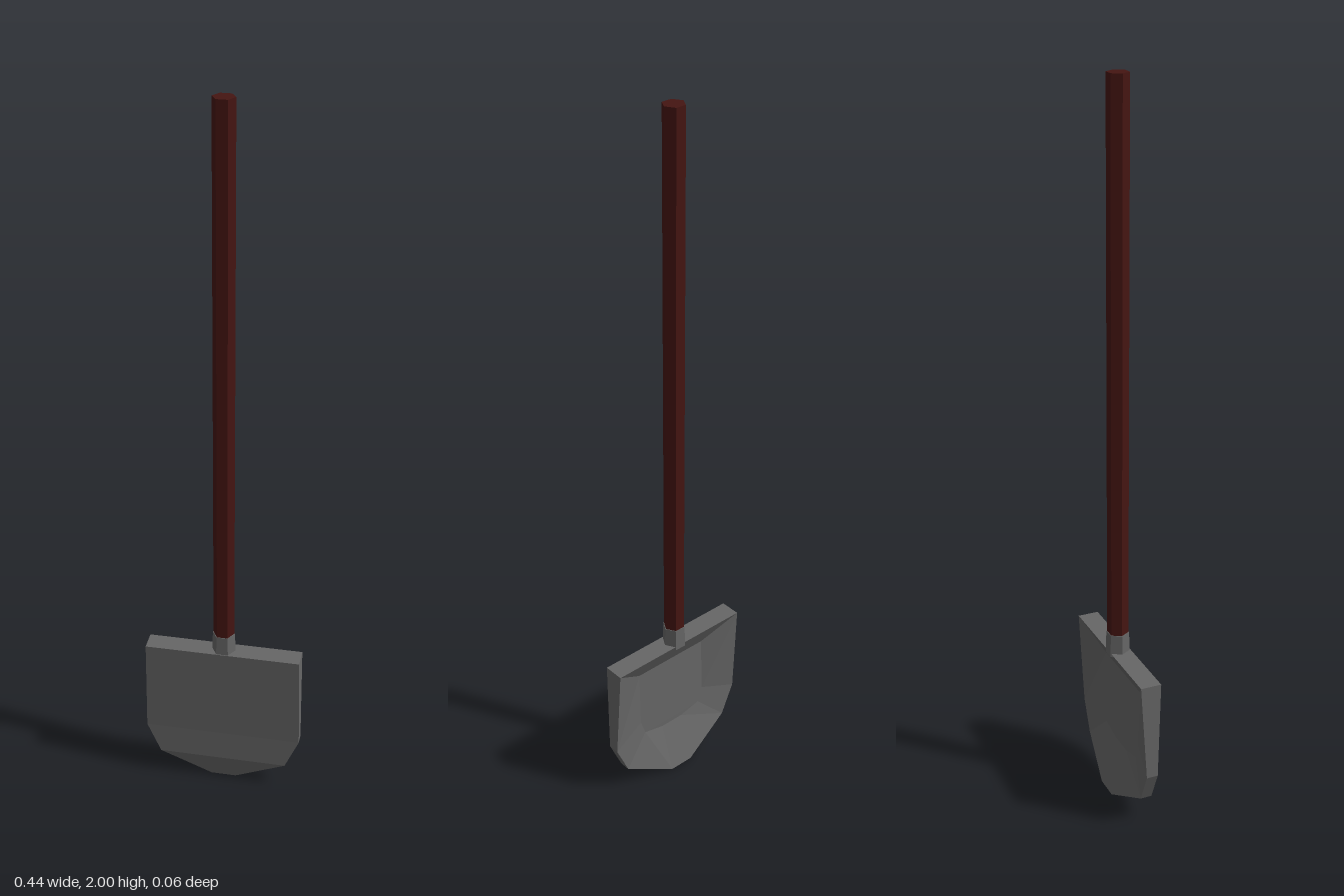
import * as THREE from 'three';

const steel = new THREE.MeshStandardMaterial({ color: 0x666666, flatShading: true });
const wood = new THREE.MeshStandardMaterial({ color: 0x451512, flatShading: true });

// Hexagonal rod with corners on the x axis
function hexRod(name, rTop, rBottom, y0, y1, material) {
  const geo = new THREE.CylinderGeometry(rTop, rBottom, y1 - y0, 6);
  geo.rotateY(Math.PI / 2);
  geo.translate(0, (y0 + y1) / 2, 0);
  const mesh = new THREE.Mesh(geo, material);
  mesh.name = name;
  return mesh;
}

// Closed outline: right half from top to tip, then its mirror back up
function mirroredRing(half) {
  const mirror = half.map(([x, y, z]) => [-x, y, z]).reverse();
  return [...half, ...mirror].map((p) => new THREE.Vector3(...p));
}

function bladeGeometry() {
  const rings = [
    // front edge
    mirroredRing([[-0.215, 0.445, 0.031], [-0.219, 0.165, 0.022], [-0.18, 0.075, 0.022], [-0.035, 0, 0.004]]),
    // back rim
    mirroredRing([[-0.215, 0.445, -0.027], [-0.219, 0.165, -0.01], [-0.18, 0.075, -0.01], [-0.035, 0.002, -0.034]]),
    // floor of the shallow pan
    mirroredRing([[-0.115, 0.37, 0.014], [-0.115, 0.2, 0.01], [-0.1, 0.155, 0.009], [-0.035, 0.14, 0.009]]),
  ];
  const pos = [];
  const quad = (a, b, c, d) => [a, b, c, a, c, d].forEach((p) => pos.push(p.x, p.y, p.z));

  // Outer edge and sloping pan walls
  for (let r = 0; r < 2; r++) {
    for (let i = 0; i < 8; i++) {
      const j = (i + 1) % 8;
      quad(rings[r][i], rings[r + 1][i], rings[r + 1][j], rings[r][j]);
    }
  }
  // Front sheet and pan floor, in rows from top to tip
  const [front, , floor] = rings;
  for (let i = 0; i < 3; i++) {
    quad(front[i], front[i + 1], front[6 - i], front[7 - i]);
    quad(floor[7 - i], floor[6 - i], floor[i + 1], floor[i]);
  }
  const geo = new THREE.BufferGeometry();
  geo.setAttribute('position', new THREE.Float32BufferAttribute(pos, 3));
  geo.computeVertexNormals();
  return geo;
}

export function createModel() {
  const group = new THREE.Group();
  group.name = 'shovel';

  const blade = new THREE.Mesh(bladeGeometry(), steel);
  blade.name = 'blade';

  group.add(
    blade,
    hexRod('socket', 0.031, 0.033, 0.435, 0.5, steel),
    hexRod('handle', 0.029, 0.029, 0.48, 2, wood),
  );
  return group;
}
